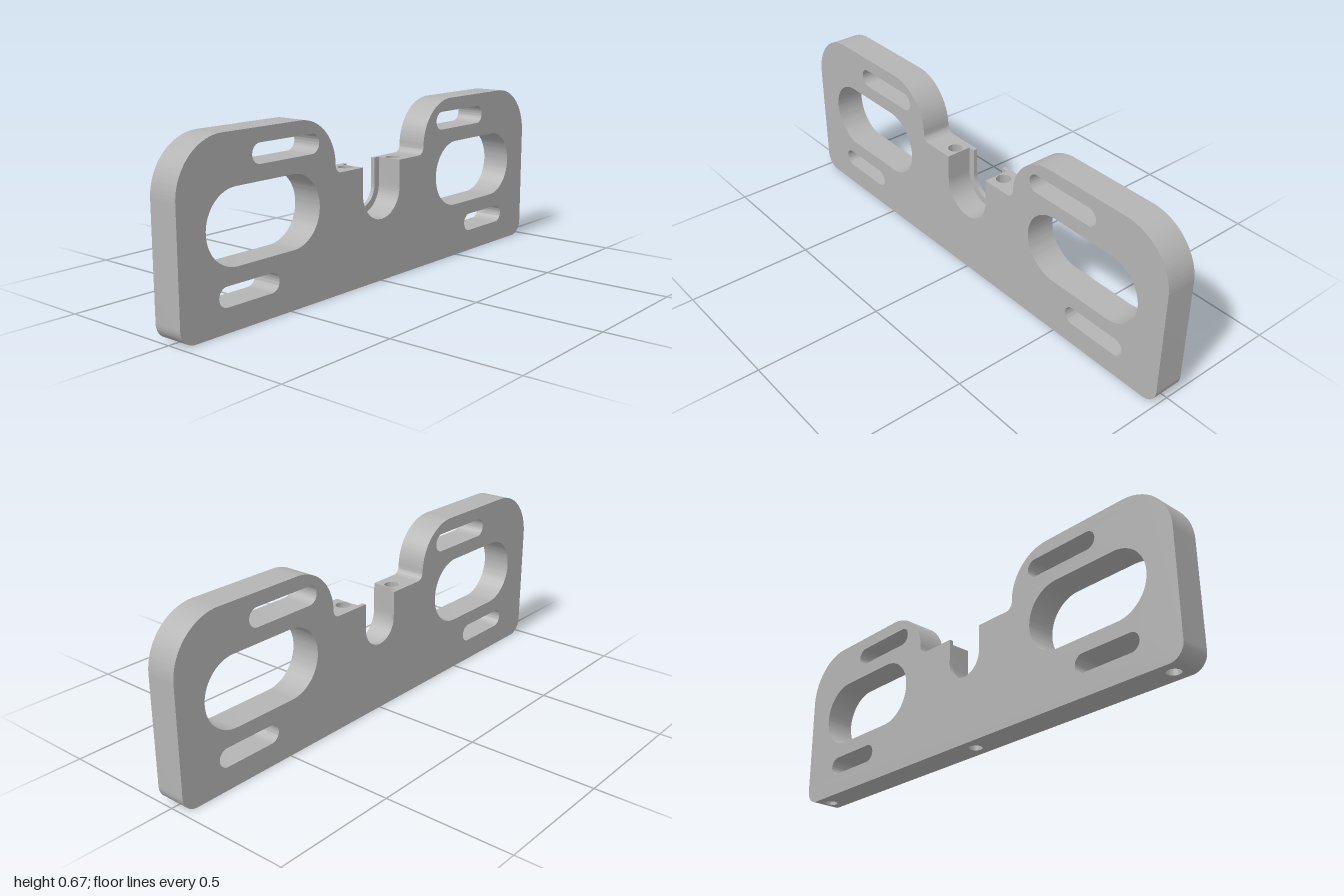
import * as THREE from 'three';
import { mergeGeometries, toCreasedNormals } from 'three/addons/utils/BufferGeometryUtils.js';

const FRONT = 0.06, BACK = -0.06, STEP = -0.043; // plate faces and slot shoulder
const LEDGE = 0.457, SLOT_Y = 0.353;             // clamp ledge height, slot arc centre
const WIDE = 0.11, NARROW = 0.083;               // slot radii in front of / behind the shoulder

const mirror = pts => pts.map(p => new THREE.Vector2(-p.x, p.y)).reverse();

// Wall swept along z; the solid lies to the left of the direction of travel
function wall(pts, z0, z1) {
  const pos = [];
  for (let i = 0; i < pts.length - 1; i++) {
    const p = pts[i], q = pts[i + 1];
    pos.push(p.x, p.y, z0, q.x, q.y, z0, q.x, q.y, z1, p.x, p.y, z0, q.x, q.y, z1, p.x, p.y, z1);
  }
  const g = new THREE.BufferGeometry();
  g.setAttribute('position', new THREE.Float32BufferAttribute(pos, 3));
  return toCreasedNormals(g, 0.5);
}

// Flat face at depth z, pointing to +z
function face(pts, holes, z) {
  const s = new THREE.Shape(pts);
  s.holes = holes.map(h => new THREE.Path(h));
  const g = new THREE.ShapeGeometry(s).toNonIndexed().translate(0, 0, z);
  g.deleteAttribute('uv');
  return g;
}

// Same face seen from behind, pointing to -z
const backFace = (pts, holes, z) => face(mirror(pts), holes.map(mirror), 0).rotateY(Math.PI).translate(0, 0, z);

// Clockwise rounded slot outline, closed
function obround(x0, x1, y, r) {
  const p = new THREE.Path();
  p.absarc(x0 + r, y, r, -Math.PI / 2, Math.PI / 2, true);
  p.absarc(x1 - r, y, r, Math.PI / 2, -Math.PI / 2, true);
  p.closePath();
  return p.getPoints(24);
}

function circle(x, y, r) {
  return new THREE.Path().absarc(x, y, r, 0, Math.PI * 2, true).getPoints(16);
}

// Flat face with blind screw holes sunk into it
function drilledFace(pts, centres, r, depth) {
  const holes = centres.map(x => circle(x, 0, r));
  const parts = [face(pts, holes, 0)];
  for (const h of holes) parts.push(wall(h, -depth, 0), face([...h].reverse(), [], -depth));
  return mergeGeometries(parts);
}

// U-shaped slot, travelling from the right ledge down and up to the left ledge
function slotPath(r) {
  const p = new THREE.Path();
  p.moveTo(r, LEDGE);
  p.lineTo(r, SLOT_Y);
  p.absarc(0, SLOT_Y, r, 0, -Math.PI, true);
  p.lineTo(-r, LEDGE);
  return p.getPoints(32);
}

export function createModel() {
  const group = new THREE.Group();
  const grey = new THREE.MeshStandardMaterial({ color: 0xb4b4b4 });
  grey.name = 'grey';
  const add = (name, geometry) => {
    const m = new THREE.Mesh(geometry, grey);
    m.name = name;
    group.add(m);
    return m;
  };

  // Right half of the silhouette, from the bottom corner up to the ledge
  const side = new THREE.Path();
  side.moveTo(0.94, 0);
  side.absarc(0.94, 0.06, 0.06, -Math.PI / 2, 0, false);
  side.absarc(0.8, 0.467, 0.2, 0, Math.PI / 2, false);
  side.absarc(0.442, 0.487, 0.18, Math.PI / 2, Math.PI, false);
  side.absarc(0.232, 0.487, 0.03, 0, -Math.PI / 2, true);
  const right = side.getPoints(24), left = mirror(right);
  const outline = r => [...right, ...slotPath(r), ...left];

  // Grip windows and adjustment slots
  const windows = [
    obround(0.348, 0.882, 0.352, 0.134),
    obround(0.348, 0.672, 0.579, 0.036),
    obround(0.556, 0.834, 0.124, 0.036),
  ];
  const openings = [...windows, ...windows.map(mirror)];
  // mirrored-and-reversed outlines keep their clockwise travel

  add('frontPlateFace', face(outline(WIDE), openings, FRONT));
  add('backPlateFace', backFace(outline(NARROW), openings, BACK));
  add('outerEdge', mergeGeometries([wall(right, BACK, FRONT), wall(left, BACK, FRONT)]));
  add('windowWalls', mergeGeometries(openings.map(o => wall(o, BACK, FRONT))));

  // Stepped centre slot with a thin retaining lip at the back
  const wide = slotPath(WIDE), narrow = slotPath(NARROW);
  add('slotWall', wall(wide, STEP, FRONT));
  add('slotLip', mergeGeometries([
    wall(narrow, BACK, STEP),
    face([...wide].reverse().concat(narrow), [], STEP),
  ]));

  // Clamp ledges, each with a screw hole
  const v = (x, y) => new THREE.Vector2(x, y);
  const ledge = [v(NARROW, -STEP), v(WIDE, -STEP), v(WIDE, -FRONT), v(0.232, -FRONT), v(0.232, -BACK), v(NARROW, -BACK)];
  const ledges = [[ledge, 0.142, 'leftLedge'], [mirror(ledge), -0.142, 'rightLedge']];
  for (const [pts, x, name] of ledges) {
    add(name, drilledFace(pts, [x], 0.028, 0.16).rotateX(-Math.PI / 2).translate(0, LEDGE, 0));
  }

  // Underside with three mounting holes
  const base = [v(-0.94, BACK), v(0.94, BACK), v(0.94, FRONT), v(-0.94, FRONT)];
  add('underside', drilledFace(base, [-0.912, 0, 0.912], 0.026, 0.15).rotateX(Math.PI / 2));

  return group;
}
